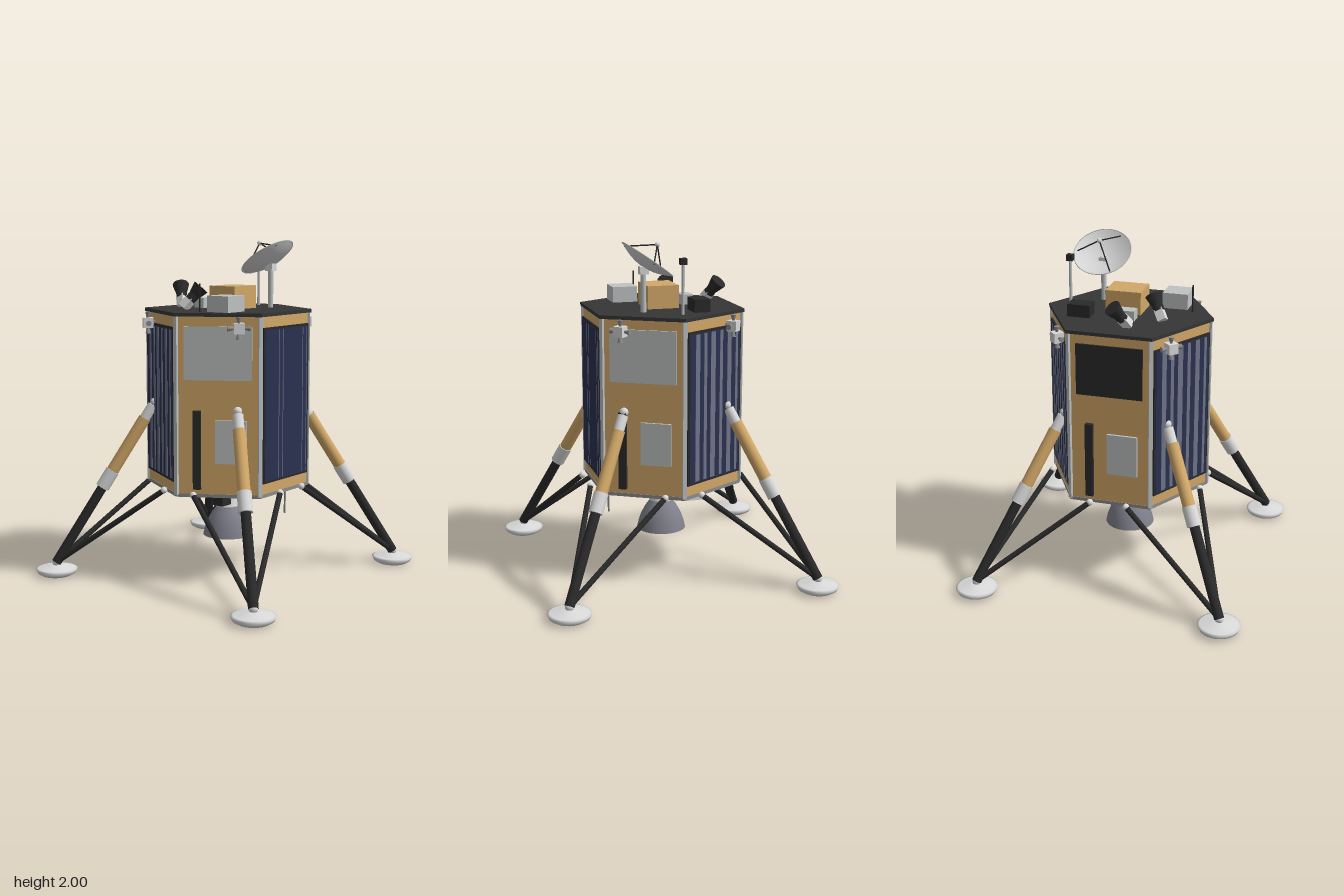
import * as THREE from 'three';

const mat = (name, color) => {
  const m = new THREE.MeshStandardMaterial({ color });
  m.name = name;
  return m;
};

export function createModel() {
  const model = new THREE.Group();
  model.name = 'lander';
  const gold = mat('gold foil', 0xd2a868);
  const white = mat('white', 0xdadada);
  const panelGrey = mat('panel grey', 0xbfc3c3);
  const baseGrey = mat('base grey', 0x8c8c8c);
  const deckGrey = mat('deck charcoal', 0x363636);
  const black = mat('black', 0x2a2a2a);
  const navy = mat('solar navy', 0x2a3150);
  const slate = mat('solar slate', 0x6f7488);
  const bellGrey = mat('nozzle grey', 0x80808c);
  bellGrey.side = THREE.DoubleSide;
  const dishWhite = mat('dish white', 0xd6d6d6);
  dishWhite.side = THREE.DoubleSide;

  const V = (x, y, z) => new THREE.Vector3(x, y, z);
  const add = (parent, name, geo, material, x = 0, y = 0, z = 0) => {
    const m = new THREE.Mesh(geo, material);
    m.name = name;
    m.position.set(x, y, z);
    parent.add(m);
    return m;
  };
  const group = (name, parent = model) => {
    const g = new THREE.Group();
    g.name = name;
    parent.add(g);
    return g;
  };
  const box = (p, name, w, h, d, m, x, y, z) => add(p, name, new THREE.BoxGeometry(w, h, d), m, x, y, z);
  const ball = (p, name, r, m, at) => add(p, name, new THREE.SphereGeometry(r, 16, 12), m, at.x, at.y, at.z);
  // Cylinder or cone running from a (radius ra) to b (radius rb)
  const rod = (p, name, a, b, ra, m, rb = ra) => {
    const dir = b.clone().sub(a);
    const mesh = add(p, name, new THREE.CylinderGeometry(rb, ra, dir.length(), 16), m);
    mesh.position.copy(a).addScaledVector(dir, 0.5);
    mesh.quaternion.setFromUnitVectors(V(0, 1, 0), dir.normalize());
    return mesh;
  };
  const lathe = (p, name, pts, m, y = 0) =>
    add(p, name, new THREE.LatheGeometry(pts.map(q => new THREE.Vector2(...q)), 32), m, 0, y, 0);
  const hex = (name, r, y0, y1, m) => {
    const g = new THREE.CylinderGeometry(r, r, y1 - y0, 6).toNonIndexed();
    g.computeVertexNormals();
    g.rotateY(Math.PI / 6);
    add(model, name, g, m, 0, (y0 + y1) / 2, 0);
  };

  // Hexagonal hull
  const R = 0.484, apothem = R * Math.cos(Math.PI / 6);
  hex('hull', R, 0.56, 1.58, gold);
  hex('basePlate', 0.488, 0.54, 0.56, baseGrey);
  hex('topDeck', 0.5, 1.58, 1.6, deckGrey);
  for (let i = 0; i < 6; i++) {
    const a = i * Math.PI / 3;
    const trim = box(model, 'cornerTrim', 0.016, 1.03, 0.024, panelGrey, R * Math.cos(a), 1.065, R * Math.sin(a));
    trim.rotation.y = -a;
  }

  // Side faces: local z points outwards, local x to the right
  for (let i = 0; i < 6; i++) {
    const face = group(i % 2 ? 'equipmentFace' : 'solarFace');
    const a = i * Math.PI / 3;
    face.rotation.y = a;
    face.position.set(Math.sin(a) * apothem, 0, Math.cos(a) * apothem);
    if (i % 2 === 0) {
      box(face, 'solarFrame', 0.45, 0.895, 0.012, black, 0, 1.07, 0.005);
      box(face, 'solarPanel', 0.425, 0.87, 0.006, navy, 0, 1.07, 0.011);
      const stripes = i === 0
        ? [[-0.08, 0.005], [-0.04, 0.005], [0.16, 0.005], [0.2, 0.005]]
        : [[-0.15, 0.035], [-0.085, 0.025], [-0.02, 0.04], [0.05, 0.025], [0.12, 0.035], [0.185, 0.02]];
      for (const [x, w] of stripes) box(face, 'cellStripe', w, 0.86, 0.002, slate, x, 1.07, 0.0145);
    } else {
      box(face, 'radiatorPanel', 0.39, 0.305, 0.012, i === 3 ? black : panelGrey, 0, 1.372, 0.005);
      box(face, 'accessPanel', 0.18, 0.25, 0.016, panelGrey, 0.075, 0.865, 0.006);
      box(face, 'cableDuct', 0.045, 0.455, 0.03, black, -0.12, 0.817, 0.012);
    }
  }

  // Four legs with pads, and a thruster cluster above each
  for (const sx of [1, -1]) for (const sz of [1, -1]) {
    const leg = group('leg');
    const P = (x, y, z) => V(sx * x, y, sz * z);
    const top = P(0.31, 1.045, 0.31), foot = P(0.735, 0.08, 0.735);
    const at = t => top.clone().lerp(foot, t);
    ball(leg, 'upperJoint', 0.026, white, top);
    rod(leg, 'upperSleeve', at(0.02), at(0.105), 0.031, white);
    rod(leg, 'shockCylinder', at(0.1), at(0.43), 0.037, gold);
    rod(leg, 'lowerCollar', at(0.425), at(0.53), 0.042, white);
    rod(leg, 'lowerStrut', at(0.52), foot, 0.029, black);
    ball(leg, 'ankleJoint', 0.026, white, foot);
    for (const end of [P(0.11, 0.56, 0.467), P(0.467, 0.56, 0.11)]) {
      rod(leg, 'sideStrut', end, foot, 0.016, black);
      ball(leg, 'strutJoint', 0.02, white, end);
    }
    const pad = lathe(leg, 'footPad',
      [[0, 0.005], [0.09, 0.005], [0.115, 0.02], [0.125, 0.042], [0.11, 0.047], [0.05, 0.058], [0.03, 0.065], [0, 0.066]], white);
    pad.position.set(foot.x, 0, foot.z);

    const rcs = group('thrusterCluster');
    rcs.position.set(sx * 0.335, 1.518, sz * 0.335);
    rcs.rotation.y = Math.atan2(sx, sz);
    box(rcs, 'thrusterBlock', 0.06, 0.06, 0.06, white, 0, 0, 0);
    box(rcs, 'thrusterBracket', 0.03, 0.03, 0.06, baseGrey, 0, 0, -0.04);
    for (const d of [V(1, 0, 0), V(-1, 0, 0), V(0, 1, 0), V(0, -1, 0)])
      rod(rcs, 'thrusterNozzle', d.clone().multiplyScalar(0.028), d.clone().multiplyScalar(0.064), 0.007, baseGrey, 0.016);
  }

  // Main engine
  const engine = group('mainEngine');
  lathe(engine, 'engineMount',
    [[0, 0.395], [0.07, 0.395], [0.073, 0.405], [0.05, 0.465], [0.068, 0.47], [0.1, 0.54], [0, 0.54]], white);
  lathe(engine, 'engineBell',
    [[0.148, 0.222], [0.138, 0.265], [0.12, 0.315], [0.095, 0.36], [0.066, 0.398]], bellGrey);

  // Equipment under the base
  box(model, 'undersideSensor', 0.08, 0.07, 0.07, black, -0.25, 0.505, 0.15);
  box(model, 'undersideBox', 0.11, 0.055, 0.12, white, 0.285, 0.515, -0.11);
  rod(model, 'undersideProbe', V(0.1, 0.385, 0.355), V(0.1, 0.545, 0.355), 0.006, baseGrey);

  // Deck equipment
  box(model, 'goldEquipmentBox', 0.213, 0.135, 0.187, gold, 0.022, 1.667, 0.023);
  box(model, 'whiteEquipmentBox', 0.152, 0.095, 0.15, panelGrey, -0.245, 1.645, 0.175);
  box(model, 'blackEquipmentBox', 0.135, 0.075, 0.095, black, 0.25, 1.637, -0.155);
  box(model, 'smallEquipmentBox', 0.1, 0.06, 0.07, panelGrey, -0.028, 1.63, -0.155);
  rod(model, 'whipAntenna', V(-0.357, 1.6, 0.075), V(-0.357, 1.762, 0.075), 0.005, black);
  rod(model, 'mast', V(0.353, 1.6, -0.027), V(0.353, 1.89, -0.027), 0.009, panelGrey);
  box(model, 'mastSensor', 0.038, 0.036, 0.038, black, 0.353, 1.9, -0.027);

  // Two tilted star trackers
  for (const [x, z, dx, dz] of [[-0.06, -0.3, 1, -1], [-0.22, -0.13, 1, 1]]) {
    const tracker = group('starTracker');
    const base = V(x, 1.635, z), dir = V(dx * 0.5, 0.8, dz * 0.5).normalize();
    const at = t => base.clone().addScaledVector(dir, t);
    const body = box(tracker, 'trackerBody', 0.05, 0.07, 0.05, white, x, 1.635, z);
    body.quaternion.setFromUnitVectors(V(0, 1, 0), dir);
    rod(tracker, 'trackerBarrel', at(0.025), at(0.075), 0.032, black);
    rod(tracker, 'trackerHood', at(0.065), at(0.125), 0.034, black, 0.05);
  }

  // Dish antenna, tilted up and to the rear
  rod(model, 'dishPost', V(0.21, 1.6, 0.165), V(0.21, 1.83, 0.165), 0.016, panelGrey);
  box(model, 'dishPivot', 0.05, 0.045, 0.05, white, 0.21, 1.84, 0.165);
  const dish = group('dishAntenna');
  dish.position.set(0.21, 1.9, 0.14);
  dish.rotation.x = -Math.atan2(0.197, 0.28);
  const bowl = [];
  for (let i = 0; i <= 10; i++) {
    const r = 0.172 * i / 10;
    bowl.push([r, -0.05 + 0.05 * (i / 10) ** 2]);
  }
  lathe(dish, 'dishBowl', bowl, dishWhite);
  add(dish, 'dishRim', new THREE.TorusGeometry(0.172, 0.003, 6, 40).rotateX(Math.PI / 2), panelGrey);
  rod(dish, 'dishHub', V(0, -0.05, 0), V(0, -0.03, 0), 0.02, white);
  for (let i = 0; i < 3; i++) {
    const a = i * Math.PI * 2 / 3;
    rod(dish, 'feedStrut', V(0.155 * Math.cos(a), -0.01, 0.155 * Math.sin(a)), V(0, 0.1, 0), 0.004, black);
  }
  ball(dish, 'feedHorn', 0.015, white, V(0, 0.1, 0));

  return model;
}
